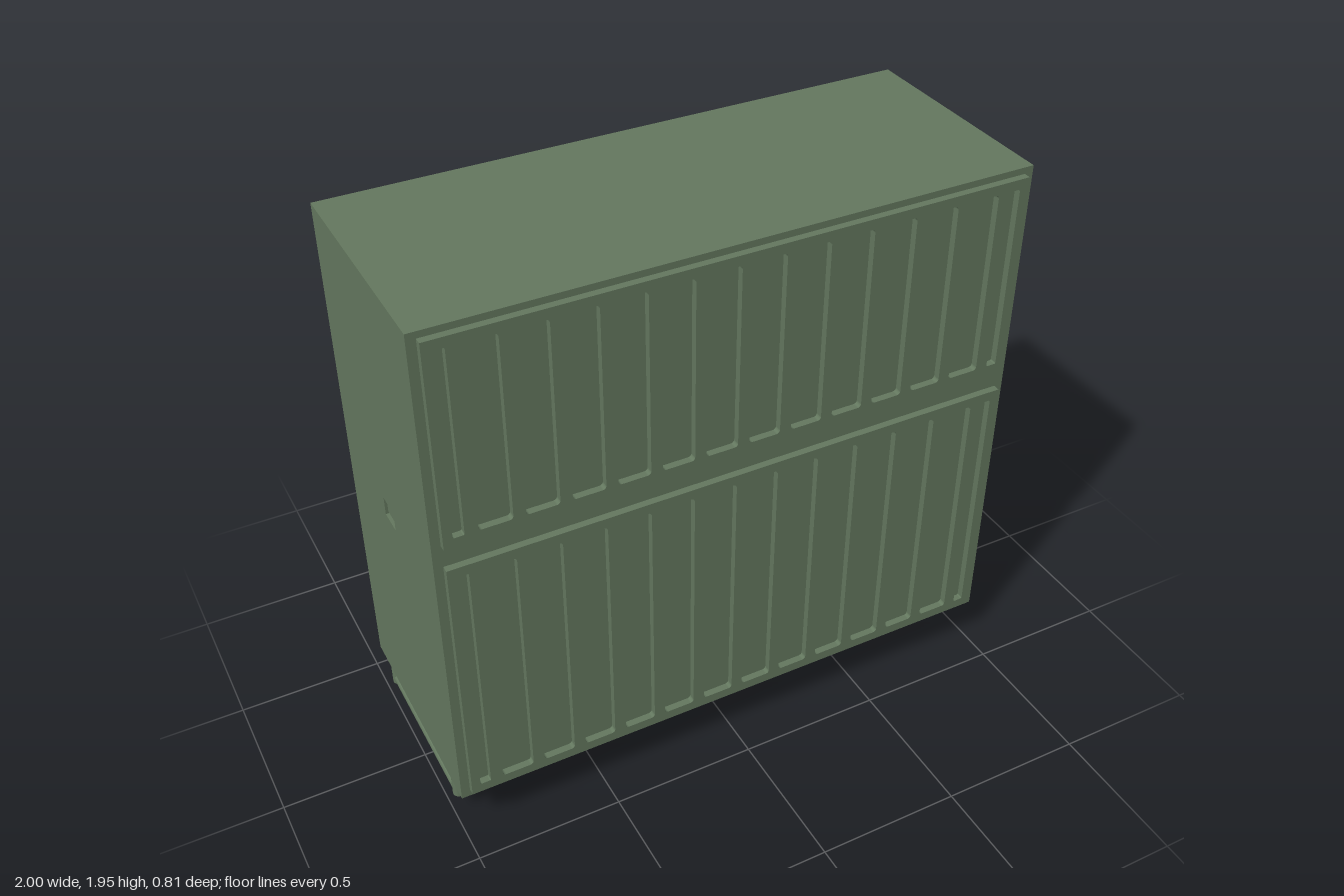
import * as THREE from 'three';

const green = new THREE.MeshStandardMaterial({ color: 0x64785f });
const black = new THREE.MeshStandardMaterial({ color: 0x1e1e21 });
const dark = new THREE.MeshStandardMaterial({ color: 0x37373d });

const BASE = 0.17, TOP = 1.95, BACK = -0.406, FRONT = 0.382, WALL = 0.025;
const DECK = 0.178; // underside of the control panel

export function createModel() {
  const model = new THREE.Group();

  function add(name, geometry, material, x = 0, y = 0, z = 0, parent = model) {
    const mesh = new THREE.Mesh(geometry, material);
    mesh.name = name;
    mesh.position.set(x, y, z);
    parent.add(mesh);
    return mesh;
  }
  const group = (name) => {
    const g = new THREE.Group();
    g.name = name;
    model.add(g);
    return g;
  };
  // Box given by its limits
  const block = (name, x0, x1, y0, y1, z0, z1, material = green, parent = model) =>
    add(name, new THREE.BoxGeometry(x1 - x0, y1 - y0, z1 - z0), material,
      (x0 + x1) / 2, (y0 + y1) / 2, (z0 + z1) / 2, parent);

  function rect(target, x0, x1, y0, y1, r = 0) {
    if (!r) {
      target.moveTo(x0, y0).lineTo(x1, y0).lineTo(x1, y1).lineTo(x0, y1).closePath();
      return target;
    }
    target.moveTo(x0 + r, y0);
    target.absarc(x1 - r, y0 + r, r, -Math.PI / 2, 0);
    target.absarc(x1 - r, y1 - r, r, 0, Math.PI / 2);
    target.absarc(x0 + r, y1 - r, r, Math.PI / 2, Math.PI);
    target.absarc(x0 + r, y0 + r, r, Math.PI, Math.PI * 1.5);
    return target;
  }
  const slab = (shape, depth) =>
    new THREE.ExtrudeGeometry(shape, { depth, bevelEnabled: false, curveSegments: 6 });

  // Case walls
  block('topWall', -1, 1, TOP - WALL, TOP, BACK, FRONT);
  block('frontWall', -1, 1, BASE, TOP, FRONT - WALL, FRONT);

  // Side walls, each with a small latch window and its tab
  const side = rect(new THREE.Shape(), -FRONT, -BACK, BASE, TOP);
  side.holes.push(rect(new THREE.Path(), -0.03, 0.06, 1.035, 1.1));
  const sideGeometry = slab(side, WALL).rotateY(Math.PI / 2);
  add('leftWall', sideGeometry, green, 1 - WALL);
  add('rightWall', sideGeometry, green, -1);
  for (const s of [-1, 1]) {
    const x = s * (1 - WALL / 2);
    block('latchTab', x - 0.008, x + 0.008, 1.057, 1.1, -0.042, 0.016);
  }

  // Back wall with a round vent port
  const back = rect(new THREE.Shape(), -1, 1, BASE, TOP);
  back.holes.push(new THREE.Path().absarc(0.66, 1.056, 0.04, 0, Math.PI * 2));
  add('backWall', slab(back, WALL), green, 0, 0, BACK);
  add('ventPlug', new THREE.CylinderGeometry(0.045, 0.045, 0.01, 24).rotateX(Math.PI / 2),
    green, 0.66, 1.056, BACK + WALL);

  // Front cover panels with rows of recessed slots
  for (const [y0, y1] of [[0.198, 1.15], [1.228, 1.928]]) {
    const panel = rect(new THREE.Shape(), -0.97, 0.97, y0, y1);
    const slot = (cx, half, r) =>
      panel.holes.push(rect(new THREE.Path(), cx - half, cx + half, y0 + 0.034, y1 - 0.034, r));
    for (let i = 0; i < 12; i++) slot((i - 5.5) * 0.147, 0.054, 0.012);
    for (const s of [-1, 1]) slot(s * 0.922, 0.018, 0.005);
    add('slottedPanel', slab(panel, 0.024), green, 0, 0, FRONT);
  }

  // Carrying handles along both lower edges
  for (const s of [-1, 1]) {
    const handle = group(s > 0 ? 'leftHandle' : 'rightHandle');
    for (const z of [0.28, -0.3]) {
      add('handlePost', new THREE.CylinderGeometry(0.022, 0.022, 0.09, 16), green,
        s * 0.976, 0.132, z, handle);
    }
    add('handleBar', new THREE.CylinderGeometry(0.02, 0.02, 0.58, 16).rotateX(Math.PI / 2),
      green, s * 0.976, 0.109, -0.01, handle);
  }

  // Control panel closing the bottom
  block('controlPanel', -0.98, 0.98, DECK, DECK + 0.02, BACK + 0.02, FRONT - 0.02, black);

  // Hanging cylinder between two heights
  const post = (name, x, z, r, y0, y1, material, parent, sides = 24) =>
    add(name, new THREE.CylinderGeometry(r, r, y1 - y0, sides), material,
      x, (y0 + y1) / 2, z, parent);

  // Ribbed rotary knobs with a pointer
  function knob(x, z, r, tip, angle) {
    const g = group('rotaryKnob');
    g.position.set(x, 0, z);
    post('knobSkirt', 0, 0, r * 0.95, 0.145, DECK, black, g);
    post('knobBody', 0, 0, r * 0.9, tip, 0.145, dark, g);
    for (let i = 0; i < 18; i++) {
      const a = (i / 18) * Math.PI * 2;
      const rib = block('knobRib', -0.008, 0.008, tip + 0.008, 0.15, -0.01, 0.01, dark, g);
      rib.position.x = Math.cos(a) * r * 0.91;
      rib.position.z = Math.sin(a) * r * 0.91;
      rib.rotation.y = -a;
    }
    const pointer = block('knobPointer', 0, r, tip - 0.006, tip, -0.008, 0.008, dark, g);
    pointer.position.set(Math.cos(angle) * r / 2, tip - 0.002, Math.sin(angle) * r / 2);
    pointer.rotation.y = -angle;
  }
  knob(0.81, 0.04, 0.095, 0.072, 2.2);
  knob(0.64, 0.15, 0.1, 0.072, 0.8);
  knob(-0.71, 0.07, 0.11, 0.07, 2.5);
  block('indexLug', -0.86, -0.79, 0.078, DECK, 0.04, 0.1, dark);

  // Capped connectors: flange, barrel, collar rings and end cap
  function connector(x, z, r, tip, lug) {
    const g = group('connector');
    post('flange', x, z, r * 1.25, 0.155, DECK, black, g);
    post('barrel', x, z, r * 0.88, tip, 0.16, dark, g);
    post('cap', x, z, r, tip + 0.008, tip + (0.16 - tip) * 0.45, dark, g);
    post('collar', x, z, r, tip + (0.16 - tip) * 0.58, 0.15, dark, g);
    if (lug) block('capLug', x, x + r + 0.035, tip, tip + 0.01, z - 0.025, z + 0.025, dark, g);
  }
  connector(0.29, -0.275, 0.061, 0.068);
  connector(0.49, -0.275, 0.061, 0.068);
  connector(0.69, -0.27, 0.076, 0.04, true);
  connector(-0.645, -0.275, 0.072, 0.002, true);
  connector(0.61, -0.1, 0.055, 0.11);

  // Toggle switch
  const toggle = group('toggleSwitch');
  post('toggleNut', -0.485, 0.225, 0.024, 0.155, DECK, dark, toggle, 6);
  post('toggleLever', -0.485, 0.225, 0.01, 0.1, 0.16, dark, toggle, 12);
  add('toggleTip', new THREE.SphereGeometry(0.014, 12, 8), dark, -0.485, 0.103, 0.225, toggle);

  // Keypad
  const keypad = group('keypad');
  for (let i = 0; i < 8; i++) {
    const x = -0.29 + i * 0.072;
    block('key', x - 0.026, x + 0.026, 0.157, DECK, -0.16, -0.11, dark, keypad);
  }

  // Display bezel with its window set back
  const bezel = rect(new THREE.Shape(), -0.33, 0.29, -0.14, 0.03, 0.02);
  bezel.holes.push(rect(new THREE.Path(), -0.29, 0.25, -0.11, 0, 0.01));
  add('displayBezel', slab(bezel, 0.014).rotateX(-Math.PI / 2), black, 0, DECK - 0.014, 0);
  block('displayWindow', -0.28, 0.24, DECK - 0.004, DECK, 0.01, 0.1, dark);

  // Small keys beside the display
  for (let i = 0; i < 3; i++) {
    block('smallKey', 0.06 + i * 0.1, 0.11 + i * 0.1, 0.166, DECK, 0.23, 0.26, dark);
  }

  // Panel screws
  for (const x of [-0.92, -0.3, 0.3, 0.92]) {
    for (const z of [-0.35, 0.33]) post('panelScrew', x, z, 0.018, 0.165, DECK, dark, model, 12);
  }
  return model;
}
